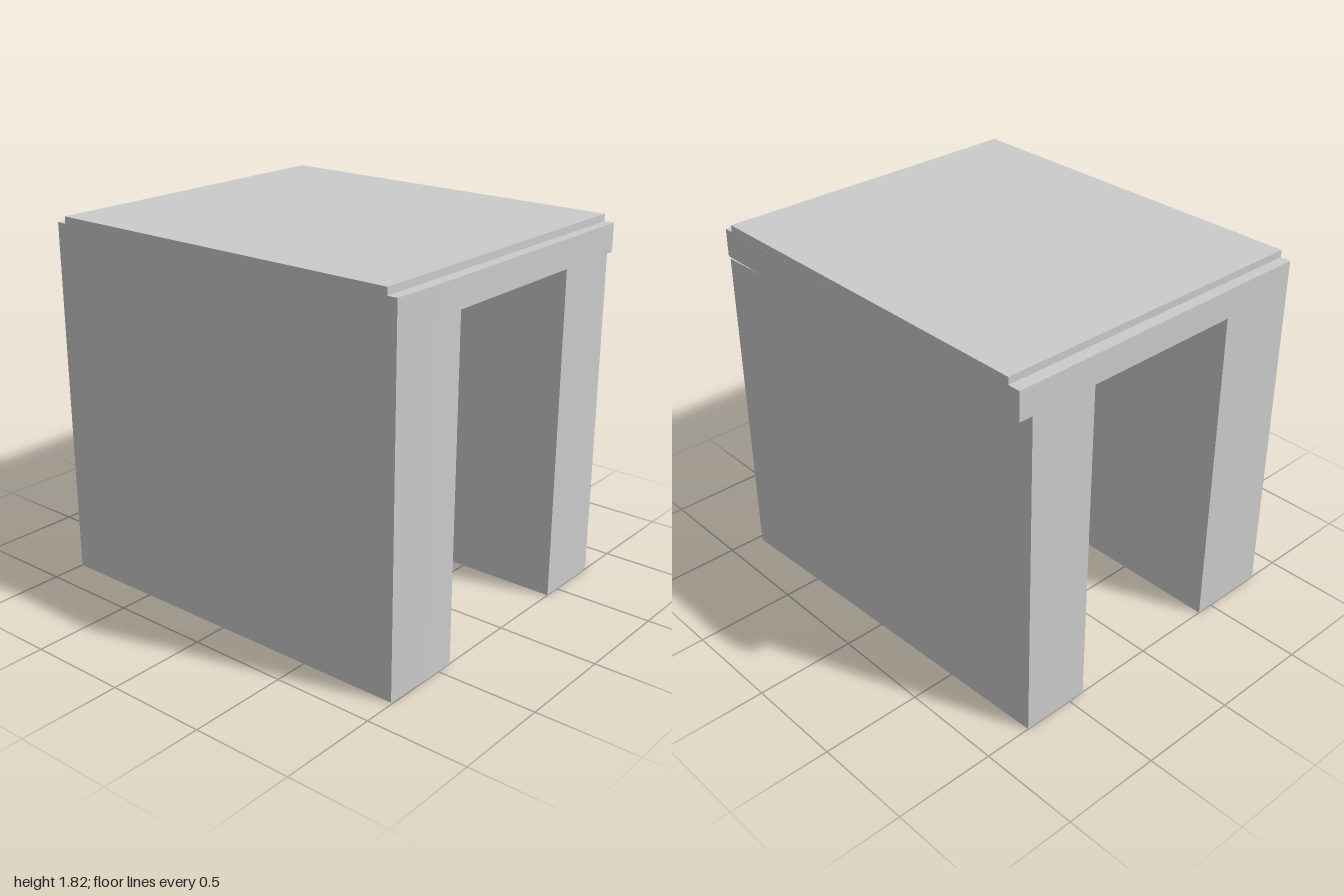
import * as THREE from 'three';

const material = new THREE.MeshStandardMaterial({ color: 0xcccccc, flatShading: true });

// Upright prism from a plan outline of [x, z] corners, between two heights
function prism(name, plan, y0, y1) {
  const shape = new THREE.Shape(plan.map(([x, z]) => new THREE.Vector2(x, -z)));
  const geometry = new THREE.ExtrudeGeometry(shape, { depth: y1 - y0, bevelEnabled: false });
  geometry.rotateX(-Math.PI / 2);
  geometry.translate(0, y0, 0);
  const mesh = new THREE.Mesh(geometry, material);
  mesh.name = name;
  return mesh;
}

export function createModel() {
  const group = new THREE.Group();
  group.name = 'passage';
  const soffit = 1.645, ledge = 1.785, top = 1.82;

  // Plain wall, flush with the slab
  group.add(prism('rightWall',
    [[-0.83, 0.992], [-0.57, 1], [-0.413, 1], [-0.413, -1], [-0.83, -1]], 0, soffit));

  // Wall with a chamfered front corner, tapering inward towards the back
  group.add(prism('leftWall',
    [[0.413, 1], [0.75, 1], [0.83, 0.97], [0.76, -1], [0.413, -1]], 0, soffit));

  // Roof slab spanning both walls
  group.add(prism('roofSlab',
    [[-0.83, 0.992], [-0.57, 1], [0.82, 1], [0.83, -1], [-0.83, -1]], soffit, ledge));

  // Raised cap, set back from the front and back edges
  group.add(prism('roofCap',
    [[-0.83, 0.943], [0.82, 0.95], [0.83, -0.937], [-0.83, -0.948]], ledge, top));

  return group;
}
